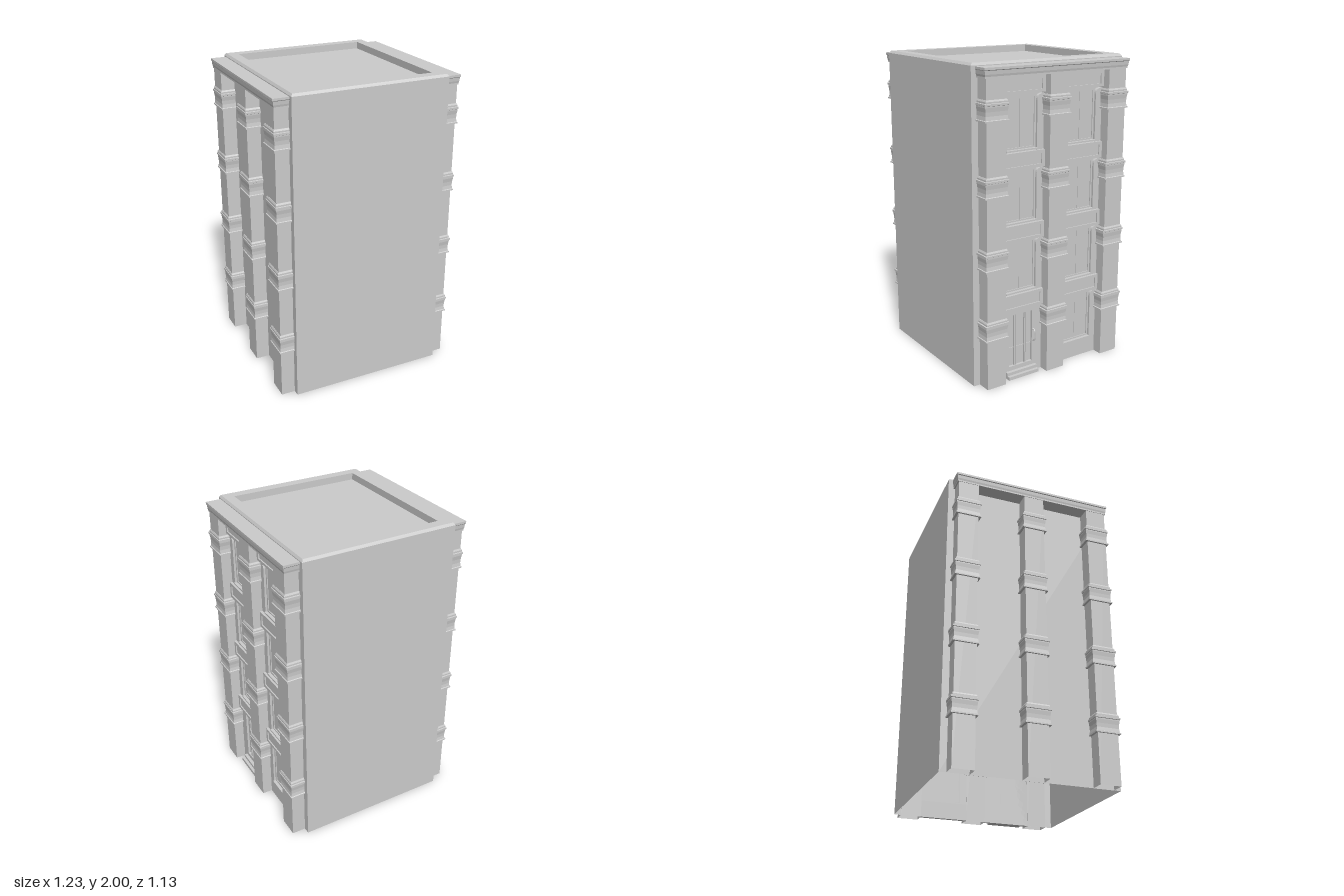
import * as THREE from 'three';

const material = new THREE.MeshStandardMaterial({ color: 0xcccccc, flatShading: true, side: THREE.DoubleSide });
const WALL = 0.515;
const BAYS = [0.228, -0.225];
const PIERS = [0.453, 0, -0.453];
const STOREY = 0.45;

function add(parent, geometry, name) {
  const mesh = new THREE.Mesh(geometry, material);
  mesh.name = name;
  parent.add(mesh);
  return mesh;
}

// Skin over rectangular rings [x0, x1, z0, z1, y], with optional end caps
function loft(rings, capStart = true, capEnd = true) {
  const position = [], index = [];
  for (const [x0, x1, z0, z1, y] of rings) position.push(x0, y, z1, x1, y, z1, x1, y, z0, x0, y, z0);
  for (let r = 0; r < rings.length - 1; r++) {
    for (let i = 0; i < 4; i++) {
      const a = r * 4 + i, b = r * 4 + (i + 1) % 4;
      index.push(a, b, b + 4, a, b + 4, a + 4);
    }
  }
  const e = (rings.length - 1) * 4;
  if (capStart) index.push(0, 2, 1, 0, 3, 2);
  if (capEnd) index.push(e, e + 1, e + 2, e, e + 2, e + 3);
  const indexed = new THREE.BufferGeometry();
  indexed.setAttribute('position', new THREE.Float32BufferAttribute(position, 3));
  indexed.setIndex(index);
  const geometry = indexed.toNonIndexed();
  geometry.computeVertexNormals();
  return geometry;
}

// Box given by its limits
function block(parent, name, x0, x1, y0, y1, z0, z1) {
  const geometry = new THREE.BoxGeometry(x1 - x0, y1 - y0, z1 - z0);
  geometry.translate((x0 + x1) / 2, (y0 + y1) / 2, (z0 + z1) / 2);
  return add(parent, geometry, name);
}

function rectangle(Type, halfWidth, y0, y1) {
  const path = new Type();
  path.moveTo(-halfWidth, y0);
  path.lineTo(halfWidth, y0);
  path.lineTo(halfWidth, y1);
  path.lineTo(-halfWidth, y1);
  path.closePath();
  return path;
}

// Shape drawn on the +x wall and pushed outwards; shape x runs towards -z
function onWall(parent, name, shape, x0, x1, z) {
  const geometry = new THREE.ExtrudeGeometry(shape, { depth: x1 - x0, bevelEnabled: false, curveSegments: 6 });
  geometry.rotateY(Math.PI / 2);
  geometry.translate(x0, 0, z);
  return add(parent, geometry, name);
}

function frame(parent, name, outer, inner, x0, x1, z) {
  const shape = rectangle(THREE.Shape, ...outer);
  shape.holes.push(rectangle(THREE.Path, ...inner));
  return onWall(parent, name, shape, x0, x1, z);
}

// Three piers with moulded bands, and the cornice above them
function colonnade() {
  const group = new THREE.Group();
  group.name = 'colonnade';
  // Band profile: height, outer x, half width
  const profile = [
    [0, 0.616, 0.083], [0.009, 0.616, 0.083], [0.012, 0.611, 0.078], [0.035, 0.608, 0.075],
    [0.06, 0.609, 0.076], [0.085, 0.612, 0.08], [0.092, 0.612, 0.08], [0.094, 0.616, 0.084],
    [0.106, 0.616, 0.084], [0.108, 0.612, 0.076], [0.118, 0.612, 0.076], [0.128, 0.607, 0.071],
  ];
  for (const z of PIERS) {
    add(group, loft([[WALL - 0.002, 0.605, z - 0.068, z + 0.068, 0],
      [WALL - 0.002, 0.605, z - 0.068, z + 0.068, 1.93]], false, false), 'pier');
    for (let i = 0; i < 4; i++) {
      const base = 0.32 + i * STOREY;
      add(group, loft(profile.map(([y, x, h]) => [0.511, x, z - h, z + h, base + y])), 'pierBand');
    }
  }
  const cornice = [[1.918, 0.608, 0.53], [1.928, 0.608, 0.53], [1.94, 0.611, 0.533],
    [1.962, 0.613, 0.535], [1.966, 0.617, 0.538], [1.98, 0.617, 0.538]];
  add(group, loft(cornice.map(([y, x, h]) => [0.51, x, -h, h, y])), 'cornice');
  return group;
}

// Panelled band between two storeys
function spandrel(parent, z, y0, y1, p0, p1) {
  block(parent, 'spandrelBack', WALL - 0.003, 0.548, y0 + 0.002, y1 - 0.002, z - 0.157, z + 0.157);
  frame(parent, 'spandrelFrame', [0.16, y0, y1], [0.138, p0, p1], WALL, 0.556, z);
}

// Window with slim frame, mullion, sill and round-shouldered jambs
function windowBay(z, y0, y1) {
  const group = new THREE.Group();
  group.name = 'window';
  frame(group, 'windowFrame', [0.113, y0, y1], [0.1, y0 + 0.014, y1 - 0.02], WALL, 0.524, z);
  block(group, 'windowPane', WALL, 0.518, y0, y1, z - 0.112, z + 0.112);
  block(group, 'windowMullion', WALL, 0.521, y0, y1 - 0.02, z - 0.003, z + 0.003);
  block(group, 'windowSill', WALL, 0.545, y0 - 0.006, y0 + 0.004, z - 0.113, z + 0.113);
  for (const side of [-1, 1]) {
    const jamb = new THREE.Shape();
    jamb.moveTo(side * 0.16, y0 - 0.01);
    jamb.lineTo(side * 0.112, y0 - 0.01);
    jamb.lineTo(side * 0.112, y1 - 0.045);
    jamb.quadraticCurveTo(side * 0.112, y1 - 0.008, side * 0.15, y1 - 0.005);
    jamb.lineTo(side * 0.16, y1 - 0.005);
    jamb.closePath();
    onWall(group, 'windowJamb', jamb, WALL, 0.538, z);
  }
  return group;
}

// Entrance with glazing bars, pull handle and two steps
function entrance(z) {
  const group = new THREE.Group();
  group.name = 'entrance';
  frame(group, 'doorSurround', [0.16, 0, 0.455], [0.088, 0.07, 0.42], WALL, 0.538, z);
  block(group, 'doorLeaf', WALL, 0.522, 0.07, 0.42, z - 0.088, z + 0.088);
  block(group, 'doorRail', WALL, 0.526, 0.19, 0.196, z - 0.088, z + 0.088);
  for (const side of [-1, 1]) {
    for (const offset of [0.034, 0.044]) {
      const c = z + side * offset;
      block(group, 'doorBar', WALL, 0.533, 0.07, 0.42, c - 0.003, c + 0.003);
    }
  }
  block(group, 'lowerStep', WALL, 0.58, 0, 0.022, z - 0.115, z + 0.115);
  block(group, 'upperStep', WALL, 0.56, 0.022, 0.042, z - 0.115, z + 0.115);
  const pull = new THREE.CatmullRomCurve3([[0.536, 0.21], [0.553, 0.218], [0.556, 0.25], [0.553, 0.282], [0.536, 0.29]]
    .map(([x, y]) => new THREE.Vector3(x, y, 0.13)));
  add(group, new THREE.TubeGeometry(pull, 16, 0.005, 8), 'doorHandle');
  return group;
}

export function createModel() {
  const model = new THREE.Group();
  model.name = 'building';

  // Hollow shell, open below, with a sunken roof behind the parapet
  const shell = [[WALL, 0.565, 0], [WALL, 0.565, 1.985], [0.505, 0.553, 2], [0.44, 0.488, 2], [0.44, 0.488, 1.955]];
  add(model, loft(shell.map(([x, z, y]) => [-x, x, -z, z, y]), false, true), 'shell');

  // Matching piers on both sides
  const left = colonnade();
  const right = colonnade();
  right.rotation.y = Math.PI;
  model.add(left, right);

  // Windows, spandrels and door on the +x side
  BAYS.forEach((z, bay) => {
    for (let i = 0; i < 4; i++) {
      const y = 0.455 + i * STOREY;
      if (i < 3) {
        spandrel(model, z, y, y + 0.106, y + 0.02, y + 0.086);
        model.add(windowBay(z, y + 0.116, y + STOREY));
      } else {
        spandrel(model, z, y + 0.005, 1.925, y + 0.022, y + 0.087);
      }
    }
    model.add(bay === 0 ? entrance(z) : windowBay(z, 0.118, 0.455));
  });
  // Plinth under the ground-floor window
  block(model, 'plinth', WALL - 0.002, 0.538, 0, 0.11, BAYS[1] - 0.16, BAYS[1] + 0.16);
  return model;
}
